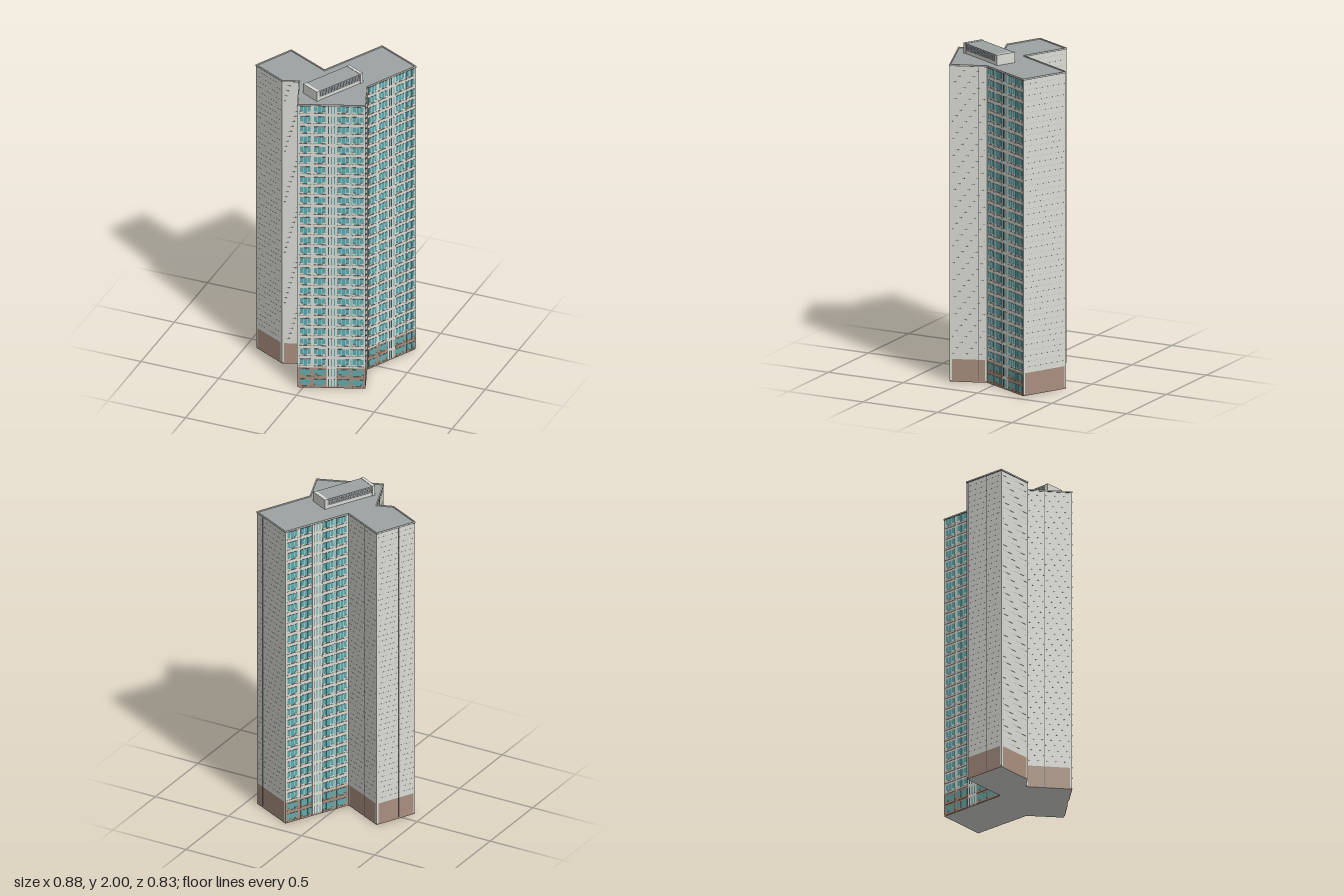
import * as THREE from 'three';
import { mergeGeometries } from 'three/addons/utils/BufferGeometryUtils.js';

const FLOORS = 28, TOP = 1.94, H = TOP / FLOORS, BASE = 2 * H;

// Footprint corners (x, z), clockwise seen from above
const PLAN = [
  [0.161, -0.413], [0.436, -0.274], [0.267, 0.06], [0.345, 0.269], [-0.03, 0.411],
  [-0.13, 0.157], [-0.226, 0.191], [-0.437, 0.083], [-0.315, -0.158], [-0.043, -0.021],
];
const GLAZED = [1, 3, 9]; // walls with windows
const JOINTS = { 0: [0.8], 2: [0.22], 4: [0.6], 7: [0.42], 8: [0.42] }; // upright panel joints
const GROUPS = [[0.03, 0.19], [0.24, 0.41], [0.59, 0.76], [0.81, 0.97]];
const SLITS = [0.455, 0.5, 0.545, 0.785];

function makeMaterial(name, color) {
  const m = new THREE.MeshStandardMaterial({ color });
  m.name = name;
  return m;
}

// Upright prism over the footprint
function prism(y, height) {
  const shape = new THREE.Shape(PLAN.map(([x, z]) => new THREE.Vector2(x, -z)));
  const g = new THREE.ExtrudeGeometry(shape, { depth: height, bevelEnabled: false });
  return g.rotateX(-Math.PI / 2).translate(0, y, 0);
}

export function createModel() {
  const beige = makeMaterial('beige concrete', 0xdbdcd5);
  const brown = makeMaterial('brown base', 0xa98f7f);
  const grey = makeMaterial('roof grey', 0x9da2a3);
  const teal = makeMaterial('teal glass', 0x5aacb0);
  const dark = makeMaterial('dark frame', 0x565a59);
  const seam = makeMaterial('panel seam', 0x7c7f7b);

  const model = new THREE.Group();
  model.name = 'towerBlock';
  const add = (name, geometry, material, parent = model) => {
    const mesh = new THREE.Mesh(geometry, material);
    mesh.name = name;
    parent.add(mesh);
    return mesh;
  };

  // Main body
  add('baseStorey', prism(0, BASE), [beige, brown]);
  add('tower', prism(BASE, TOP - BASE - 0.004), [grey, beige]);

  // Parts gathered by name, merged at the end
  const bins = new Map();
  const put = (name, material, geometry) => {
    if (!bins.has(name)) bins.set(name, { material, list: [] });
    bins.get(name).list.push(geometry);
  };

  PLAN.forEach(([px, pz], i) => {
    const [qx, qz] = PLAN[(i + 1) % PLAN.length];
    const len = Math.hypot(qx - px, qz - pz);
    const dx = (qx - px) / len, dz = (qz - pz) / len;
    // Box on this wall: t along it, y centre, width, height, how far it stands out and reaches in
    const plate = (name, material, t, y, w, h, out, inset = 0.001) => {
      const mid = (out - inset) / 2;
      const g = new THREE.BoxGeometry(w, h, out + inset).rotateY(Math.atan2(-dz, dx));
      g.translate(px + dx * t * len + dz * mid, y, pz + dz * t * len - dx * mid);
      put(name, material, g);
    };

    // Roof rim with a thin dark line below
    plate('roofRim', beige, 0.5, TOP - 0.001, len + 0.004, 0.006, 0.003, 0.004);
    plate('rimShadowGap', dark, 0.5, TOP - 0.006, len + 0.003, 0.004, 0.003);

    if (!GLAZED.includes(i)) {
      // Pale corner strips down to the ground
      for (const s of [0.006, len - 0.006]) {
        plate('cornerStrips', beige, s / len, TOP / 2, 0.012, TOP - 0.02, 0.0008);
      }
      // Concrete panel joints
      for (let k = 5; k < FLOORS * 2; k++) {
        plate('floorSeams', seam, 0.5, (k * H) / 2, len, 0.0005, 0.0005);
      }
      for (const t of JOINTS[i] || []) plate('wallJoints', dark, t, TOP / 2, 0.002, TOP - 0.02, 0.001);
      return;
    }

    // Pale stair bay running through the base
    plate('stairBay', beige, 0.5, TOP / 2, 0.15 * len, TOP - 0.02, 0.0008);

    for (let f = 0; f < FLOORS; f++) {
      const y = f * H, low = f < 2;
      const wallMat = low ? brown : beige, tag = low ? 'Base' : '';
      for (const [a, b] of GROUPS) {
        const w = (b - a) * len, t = 1 - (a + b) / 2;
        const at = (s) => t + (s * w) / len;
        // Dark frame, glass, mullions and the panels under the side panes
        plate('windowFrames', dark, t, y + 0.036, w, 0.046, 0.001);
        for (const s of [-0.34, 0, 0.34]) {
          plate('windowGlass', teal, at(s), y + 0.036, w * 0.3, 0.044, 0.002);
        }
        for (const s of [-0.36, 0.36]) {
          plate('underWindowPanels' + tag, wallMat, at(s), y + 0.0185, w * 0.28, 0.011, 0.003);
        }
        for (const s of [-0.17, 0.17]) {
          plate('mullions' + tag, wallMat, at(s), y + 0.036, 0.003, 0.046, 0.003);
        }
        plate('floorLedges' + tag, wallMat, t, y + 0.006, w + 0.006, 0.008, 0.004);
        plate('sills', brown, t, y + 0.0115, w, 0.003, 0.004);
      }
      // Narrow stair windows
      SLITS.forEach((s, k) => {
        plate('stairWindows' + (k ? '' : 'Dark'), k ? teal : dark, 1 - s, y + 0.036, 0.006, 0.05, 0.002);
      });
    }
  });

  for (const [name, { material, list }] of bins) add(name, mergeGeometries(list), material);

  // Plant room on the roof
  const plant = new THREE.Group();
  plant.name = 'plantRoom';
  plant.position.set(0.083, TOP - 0.004, 0.144);
  plant.rotation.y = Math.atan2(-0.163, 0.3125);
  model.add(plant);
  const block = (name, mat, w, h, d, x, y, z) =>
    add(name, new THREE.BoxGeometry(w, h, d).translate(x, y, z), mat, plant);
  block('plantBody', beige, 0.122, 0.058, 0.32, 0, 0.029, 0);
  block('plantRoof', grey, 0.126, 0.004, 0.32, 0, 0.06, 0);
  for (const s of [-1, 1]) {
    block('plantEndWall', beige, 0.13, 0.064, 0.02, 0, 0.032, s * 0.166);
    block('louvrePanel', grey, 0.004, 0.04, 0.31, s * 0.061, 0.039, 0);
    const slats = [];
    for (let k = 0; k < 5; k++) {
      slats.push(new THREE.BoxGeometry(0.004, 0.0018, 0.3).translate(s * 0.0618, 0.025 + k * 0.007, 0));
    }
    add('louvreSlats', mergeGeometries(slats), dark, plant);
  }
  return model;
}
